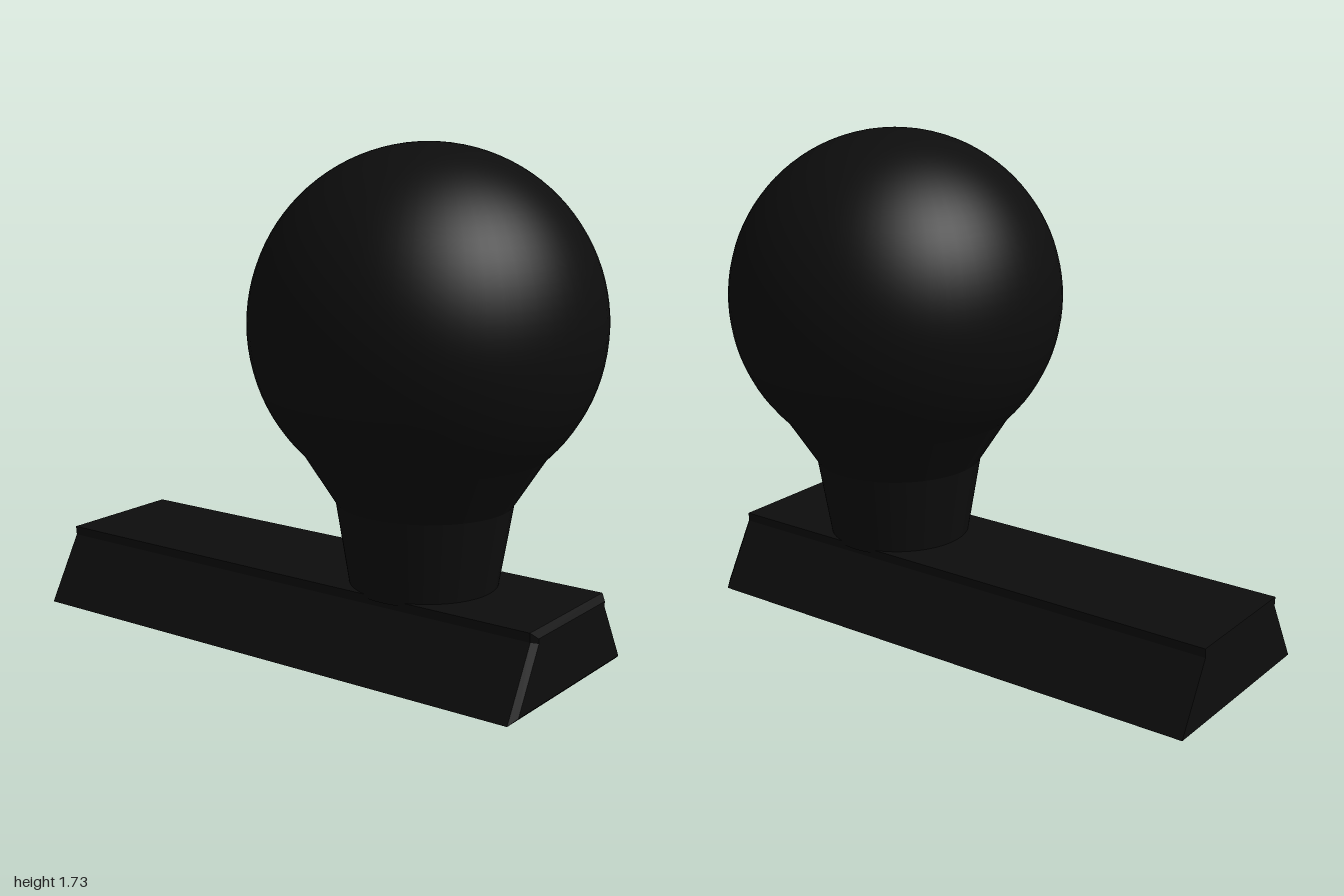
import * as THREE from 'three';

// Joins equal-length cross-sections [z, points] from back to front and closes both ends
function loft(sections) {
  const pos = [];
  const rings = sections.map(([z, pts]) => pts.map(([x, y]) => [x, y, z]));
  const tri = (a, b, c) => pos.push(...a, ...b, ...c);
  const n = rings[0].length;
  for (let s = 0; s < rings.length - 1; s++) {
    const back = rings[s], front = rings[s + 1];
    for (let i = 0; i < n; i++) {
      const j = (i + 1) % n;
      tri(back[i], back[j], front[j]);
      tri(back[i], front[j], front[i]);
    }
  }
  const first = rings[0], last = rings[rings.length - 1];
  for (let i = 1; i < n - 1; i++) {
    tri(first[0], first[i + 1], first[i]);
    tri(last[0], last[i], last[i + 1]);
  }
  const g = new THREE.BufferGeometry();
  g.setAttribute('position', new THREE.Float32BufferAttribute(pos, 3));
  g.computeVertexNormals();
  return g;
}

// Mirrors the +x half of a cross-section, starting at the bottom middle
function mirrored(half, bottom) {
  return [[0, bottom], ...half, ...half.slice().reverse().map(([x, y]) => [-x, y])];
}

export function createModel() {
  const model = new THREE.Group();
  const black = new THREE.MeshStandardMaterial({ color: 0x0d0d0d });
  black.name = 'black';

  const add = (name, geometry, x = 0, y = 0, z = 0) => {
    const mesh = new THREE.Mesh(geometry, black);
    mesh.name = name;
    mesh.position.set(x, y, z);
    model.add(mesh);
  };

  // Dovetail rail with a square back end and a bevelled front end
  const full = mirrored([[0.367, 0], [0.237, 0.23], [0.24, 0.262]], 0);
  const inset = mirrored([[0.334, 0.02], [0.218, 0.225], [0.22, 0.242]], 0.02);
  add('rail', loft([[-1, full], [0.955, full], [0.975, inset]]));

  // Neck: a slim stem and a flare that meets the ball
  const axisZ = 0.41;
  const frustum = (name, rTop, rBottom, y0, y1) =>
    add(name, new THREE.CylinderGeometry(rTop, rBottom, y1 - y0, 64, 1), 0, (y0 + y1) / 2, axisZ);
  frustum('stem', 0.298, 0.25, 0.25, 0.54);
  frustum('flare', 0.41, 0.298, 0.54, 0.715);

  // Ball knob
  add('ball', new THREE.SphereGeometry(0.59, 64, 48), 0, 1.138, axisZ);

  return model;
}
